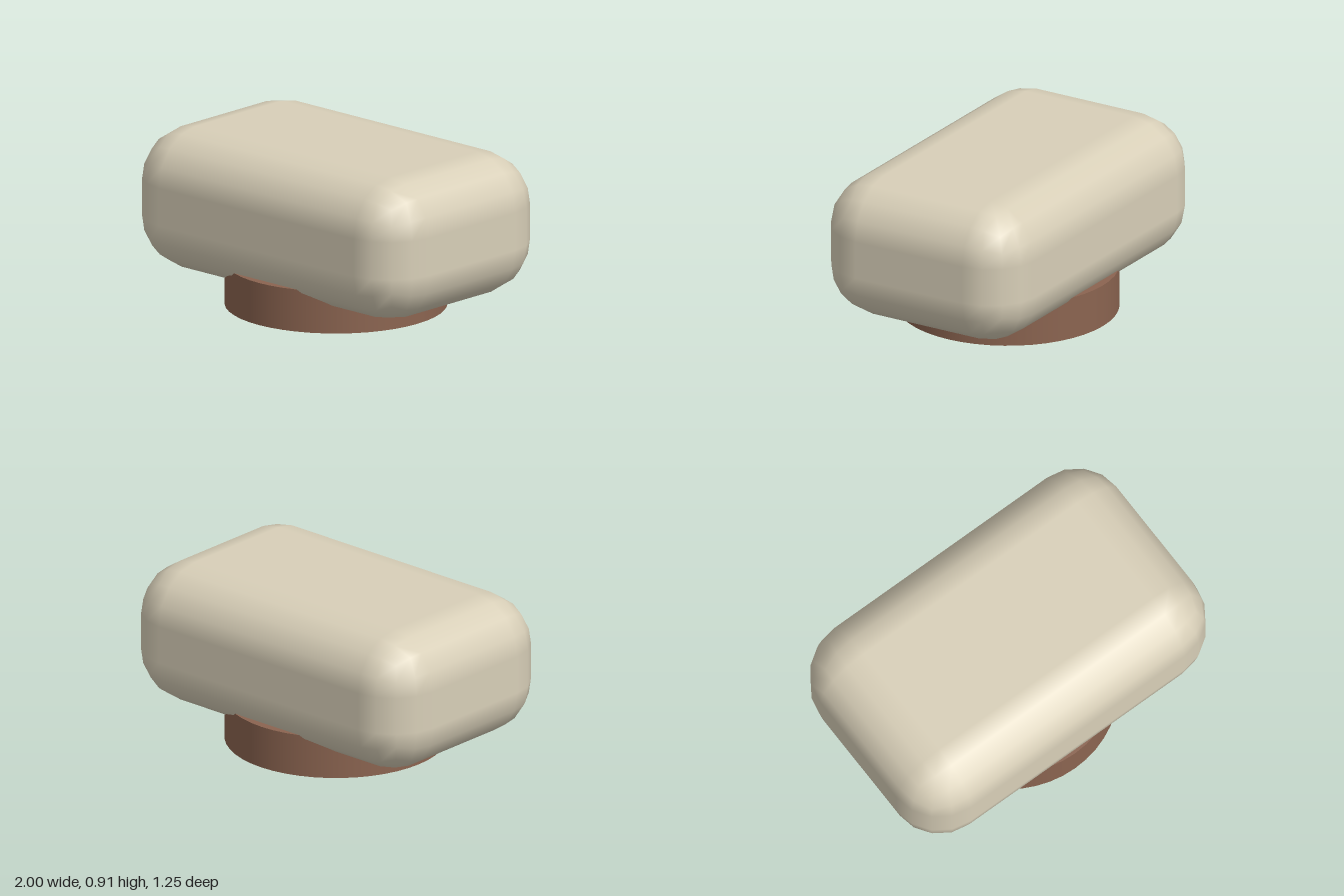
import * as THREE from 'three';
import { RoundedBoxGeometry } from 'three/addons/geometries/RoundedBoxGeometry.js';

const cream = new THREE.MeshStandardMaterial({ color: 0xd8cfb8 });
cream.name = 'cream';
const brown = new THREE.MeshStandardMaterial({ color: 0x8b6450 });
brown.name = 'brown';

// Rounded box whose corner arcs step in four equal angles
function evenRoundedBox(width, height, depth, radius) {
  const geometry = new RoundedBoxGeometry(width, height, depth, 2, radius);
  const { position, normal } = geometry.attributes;
  const p = new THREE.Vector3();
  const oldN = new THREE.Vector3();
  const newN = new THREE.Vector3();
  for (let i = 0; i < position.count; i++) {
    p.fromBufferAttribute(position, i);
    oldN.fromBufferAttribute(normal, i);
    const largest = Math.max(Math.abs(oldN.x), Math.abs(oldN.y), Math.abs(oldN.z));
    const even = (c) => {
      const t = c / largest;
      return Math.abs(Math.abs(t) - 0.5) < 0.01 ? Math.sign(t) * Math.tan(Math.PI / 8) : t;
    };
    newN.set(even(oldN.x), even(oldN.y), even(oldN.z)).normalize();
    p.addScaledVector(oldN, -radius).addScaledVector(newN, radius);
    position.setXYZ(i, p.x, p.y, p.z);
    normal.setXYZ(i, newN.x, newN.y, newN.z);
  }
  geometry.clearGroups();
  return geometry;
}

export function createModel() {
  const model = new THREE.Group();
  model.name = 'roundedBlockOnBase';

  // Soft rounded block
  const block = new THREE.Mesh(evenRoundedBox(2, 0.78, 1.245, 0.286), cream);
  block.name = 'block';
  block.position.y = 0.522;
  model.add(block);

  // Round base, partly sunk into the block
  const base = new THREE.Mesh(new THREE.CylinderGeometry(0.597, 0.597, 0.234, 48), brown);
  base.name = 'base';
  base.position.y = 0.117;
  model.add(base);

  return model;
}
